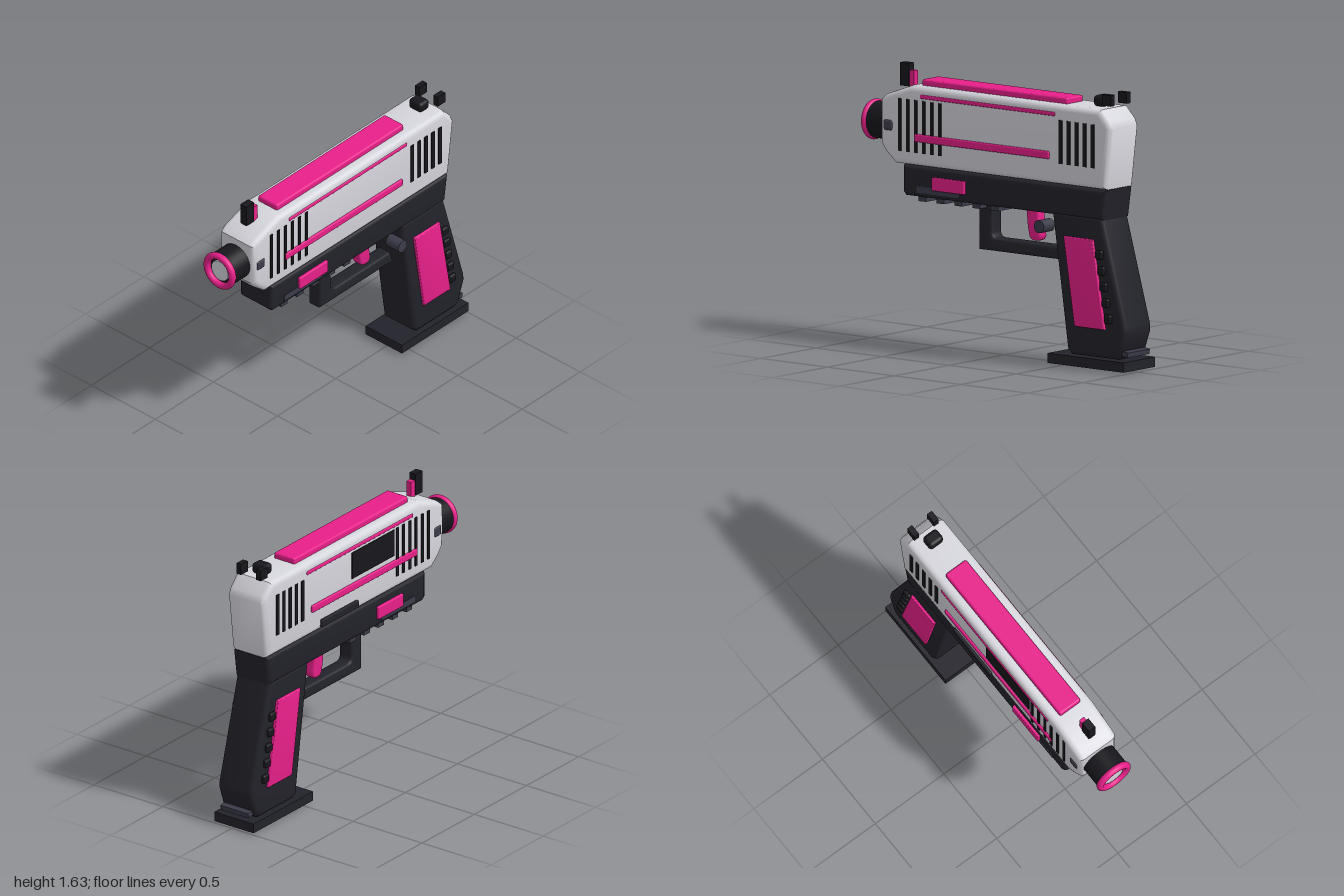
import * as THREE from 'three';
import { toCreasedNormals } from 'three/addons/utils/BufferGeometryUtils.js';
import { RoundedBoxGeometry } from 'three/addons/geometries/RoundedBoxGeometry.js';

const mat = (color) => new THREE.MeshStandardMaterial({ color });

export function createModel() {
  const root = new THREE.Group();
  const body = new THREE.Group();
  body.name = 'blaster';
  body.position.x = -0.015;
  root.add(body);

  const shell = mat(0xd6d6dd), dark = mat(0x22222a), black = mat(0x17171c);
  const steel = mat(0x3c3c4a), pink = mat(0xe8208a);

  const add = (name, geometry, material, x = 0, y = 0, z = 0) => {
    const mesh = new THREE.Mesh(geometry, material);
    mesh.name = name;
    mesh.position.set(x, y, z);
    body.add(mesh);
    return mesh;
  };

  // Side profile given as [z, y], extruded across x with rounded edges
  const profile = (name, points, half, bevel, material, x = 0) => {
    const shape = points instanceof THREE.Shape ? points
      : new THREE.Shape(points.map(([z, y]) => new THREE.Vector2(z, y)));
    const depth = 2 * (half - bevel);
    const geo = new THREE.ExtrudeGeometry(shape, {
      depth, bevelEnabled: true, bevelThickness: bevel, bevelSize: bevel,
      bevelOffset: -bevel, bevelSegments: 4, curveSegments: 8,
    });
    geo.translate(0, 0, -depth / 2).rotateY(-Math.PI / 2);
    return add(name, toCreasedNormals(geo, 0.6), material, x);
  };

  // Box given by its ranges in z and y, and half its width
  const box = (name, z0, z1, y0, y1, half, material, x = 0, r = 0) => {
    const size = [2 * half, y1 - y0, z1 - z0];
    const geo = r ? new RoundedBoxGeometry(...size, 3, r) : new THREE.BoxGeometry(...size);
    return add(name, geo, material, x, (y0 + y1) / 2, (z0 + z1) / 2);
  };

  // Thin box laid on both flanks, reaching out to x = outer
  const pair = (name, z0, z1, y0, y1, outer, material, r = 0) => {
    for (const s of [1, -1]) {
      box(name, z0, z1, y0, y1, 0.02, material, s * (outer - 0.02), r);
    }
  };

  // Slide
  profile('slide', [[0.61, 1.528], [0.8, 1.46], [0.838, 1.43], [0.838, 1.17], [0.8, 1.12], [0.73, 1.062],
    [-0.85, 1.062], [-0.893, 1.42], [-0.875, 1.46], [-0.81, 1.528]], 0.134, 0.035, shell);
  box('topRail', -0.52, 0.57, 1.5, 1.563, 0.075, pink, 0, 0.012);
  pair('upperStrip', -0.48, 0.533, 1.46, 1.483, 0.14, pink, 0.006);
  pair('lowerStrip', -0.437, 0.57, 1.205, 1.25, 0.146, pink, 0.008);
  for (let i = 0; i < 6; i++) {
    const z = 0.684 - i * 0.06;
    pair('frontVent', z - 0.01, z + 0.01, 1.14, 1.447, 0.14, black);
  }
  for (let i = 0; i < 5; i++) {
    const z = -0.522 - i * 0.06;
    pair('rearVent', z - 0.0125, z + 0.0125, 1.185, 1.44, 0.14, black);
  }
  pair('muzzlePin', 0.74, 0.808, 1.25, 1.314, 0.142, steel, 0.015);
  box('ejectionPort', -0.05, 0.355, 1.28, 1.445, 0.02, black, -0.119);
  box('slideStop', -0.35, 0, 1.085, 1.13, 0.02, dark, -0.131, 0.006);

  // Sights
  box('frontSight', 0.71, 0.775, 1.5, 1.635, 0.023, black);
  box('frontSightInsert', 0.675, 0.712, 1.49, 1.595, 0.017, pink);
  for (const s of [1, -1]) {
    box('rearSight', -0.86, -0.795, 1.548, 1.614, 0.017, black, s * 0.072);
  }
  box('rearKnob', -0.772, -0.69, 1.53, 1.595, 0.05, black, 0, 0.022);

  // Muzzle
  const round = (name, r, z0, z1, material) => add(name,
    new THREE.CylinderGeometry(r, r, z1 - z0, 40).rotateX(Math.PI / 2), material, 0, 1.28, (z0 + z1) / 2);
  round('barrel', 0.108, 0.78, 0.965, black);
  round('muzzleCore', 0.065, 0.9, 0.98, shell);
  add('muzzleRing', new THREE.TorusGeometry(0.098, 0.021, 16, 48), pink, 0, 1.28, 0.979);

  // Frame with accessory rail
  profile('frame', [[0.675, 1.06], [0.675, 0.9], [0.655, 0.88], [-0.825, 0.88], [-0.85, 1.06]],
    0.125, 0.025, dark);
  pair('framePanel', 0.2, 0.443, 0.93, 1.008, 0.142, pink, 0.006);
  pair('railSide', 0.245, 0.565, 0.905, 0.945, 0.129, steel);
  for (let i = 0; i < 5; i++) {
    const z = 0.54 - i * 0.135;
    box('railRib', z - 0.028, z + 0.028, 0.854, 0.9, 0.106, steel);
  }

  // Trigger and guard
  const guard = new THREE.Shape();
  guard.moveTo(0.168, 0.885);
  guard.lineTo(0.168, 0.605);
  guard.lineTo(-0.46, 0.605);
  guard.quadraticCurveTo(-0.465, 0.63, -0.435, 0.68);
  guard.lineTo(0.03, 0.68);
  guard.quadraticCurveTo(0.068, 0.68, 0.068, 0.72);
  guard.lineTo(0.068, 0.885);
  profile('triggerGuard', guard, 0.048, 0.018, dark);
  const trigger = new THREE.Shape();
  trigger.moveTo(-0.18, 0.89);
  trigger.lineTo(-0.265, 0.89);
  trigger.quadraticCurveTo(-0.27, 0.8, -0.282, 0.725);
  trigger.quadraticCurveTo(-0.275, 0.692, -0.25, 0.694);
  trigger.quadraticCurveTo(-0.2, 0.69, -0.195, 0.73);
  trigger.quadraticCurveTo(-0.175, 0.81, -0.18, 0.89);
  profile('trigger', trigger, 0.035, 0.015, pink);

  // Grip
  profile('grip', [[-0.44, 0.9], [-0.555, 0.1], [-0.585, 0.075], [-0.92, 0.075], [-0.95, 0.1],
    [-0.995, 0.23], [-0.993, 0.27], [-0.815, 0.9]], 0.124, 0.03, dark);
  for (const s of [1, -1]) {
    profile('gripPanel', [[-0.543, 0.765], [-0.762, 0.765], [-0.852, 0.245], [-0.625, 0.245]],
      0.022, 0.008, pink, s * 0.119);
  }
  for (let i = 0; i < 5; i++) {
    const z = -0.807 - i * 0.0165, y = 0.68 - i * 0.0925;
    pair('gripBump', z - 0.026, z + 0.026, y - 0.026, y + 0.026, 0.144, black, 0.012);
  }
  const button = add('releaseButton',
    new THREE.CylinderGeometry(0.038, 0.038, 0.1, 24).rotateZ(Math.PI / 2), steel, 0.13, 0.81, -0.395);
  button.scale.x = 1;

  // Magazine base
  box('basePlate', -1, -0.43, 0.012, 0.07, 0.142, dark);
  box('basePad', -0.925, -0.505, 0, 0.03, 0.083, pink);
  const heel = box('heelBar', -0.995, -0.93, 0.097, 0.127, 0.1, steel);
  heel.rotation.x = -0.15;

  return root;
}
